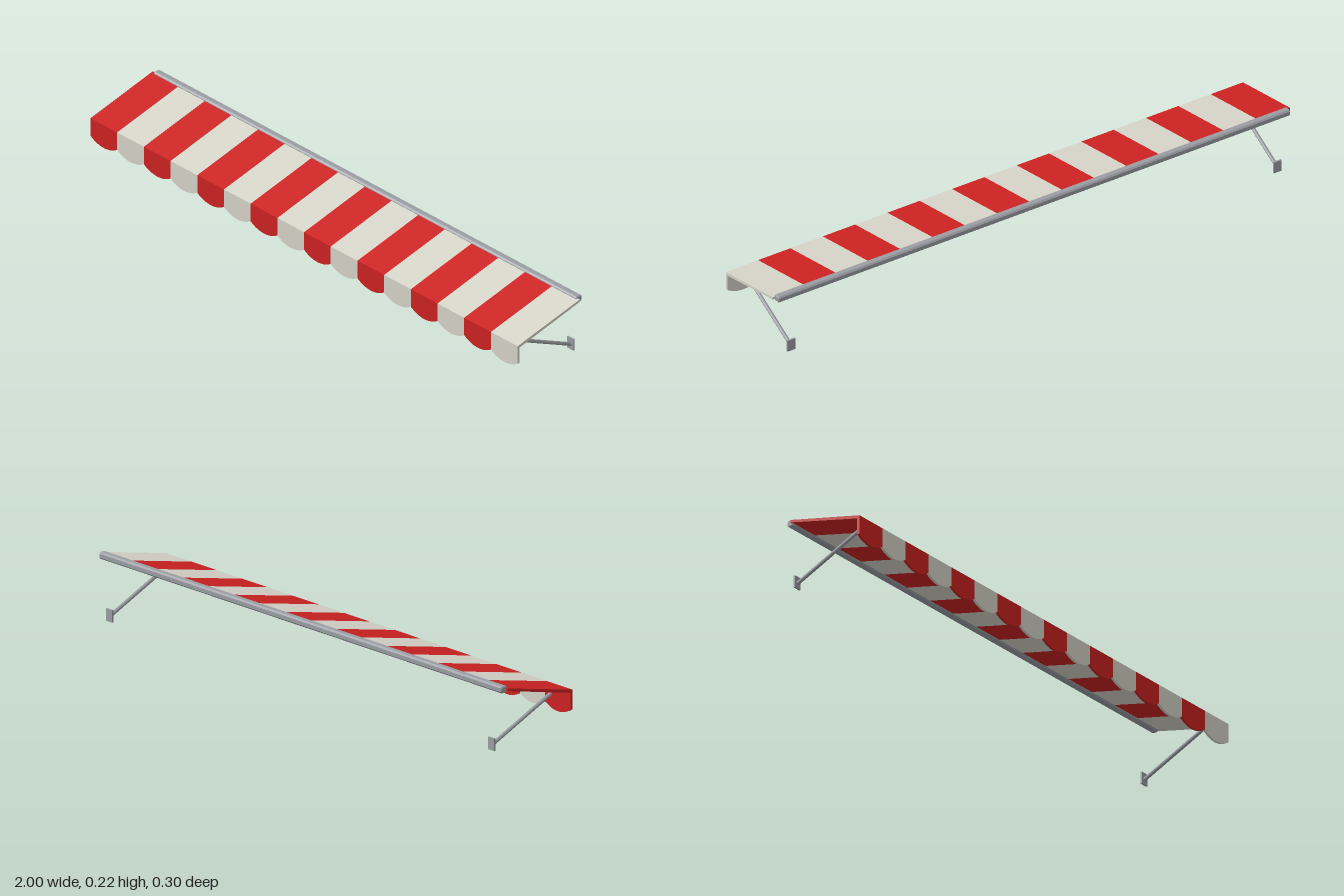
import * as THREE from 'three';

const mat = (name, color) => {
  const m = new THREE.MeshStandardMaterial({ color });
  m.name = name;
  return m;
};

// Extrudes a (z, y) outline along x, centred on x = 0
function extrudeX(points, width, bevel = 0) {
  const shape = new THREE.Shape(points.map(([z, y]) => new THREE.Vector2(z, y)));
  const depth = width - 2 * bevel;
  return new THREE.ExtrudeGeometry(shape, {
    depth, bevelEnabled: bevel > 0, bevelSize: bevel, bevelThickness: bevel,
    bevelOffset: -bevel, bevelSegments: 1,
  }).translate(0, 0, -depth / 2).rotateY(-Math.PI / 2);
}

export function createModel() {
  const group = new THREE.Group();
  const red = mat('red cloth', 0xcc2222);
  const cream = mat('cream cloth', 0xd6d4c8);
  const metal = mat('grey metal', 0x9a9da2);

  const add = (parent, name, geometry, material, x = 0, y = 0, z = 0) => {
    const mesh = new THREE.Mesh(geometry, material);
    mesh.name = name;
    mesh.position.set(x, y, z);
    parent.add(mesh);
    return mesh;
  };

  // Sloping cloth with its hanging front edge
  const count = 16, stripe = 2 / count, edgeY = 0.092;
  const front = 0.15, back = 0.141;
  const clothGeo = extrudeX([
    [front, edgeY], [front, 0.158], [-0.13, 0.219],
    [-0.13, 0.210], [back, 0.149], [back, edgeY],
  ], stripe);

  // Scallop below each stripe: a shallow arc
  const sag = 0.02, half = stripe / 2;
  const radius = (half * half + sag * sag) / (2 * sag);
  const spread = Math.asin(half / radius);
  const scallop = new THREE.Shape();
  scallop.absarc(0, radius - sag, radius, -Math.PI / 2 - spread, -Math.PI / 2 + spread, false);
  scallop.closePath();
  const scallopGeo = new THREE.ExtrudeGeometry(scallop, {
    depth: front - back, bevelEnabled: false, curveSegments: 12,
  });

  const canopy = new THREE.Group();
  canopy.name = 'canopy';
  group.add(canopy);
  for (let i = 0; i < count; i++) {
    const x = -1 + (i + 0.5) * stripe;
    const material = i % 2 ? cream : red;
    add(canopy, 'clothStripe', clothGeo, material, x);
    add(canopy, 'scallop', scallopGeo, material, x, edgeY, back);
  }

  // Chamfered wall rail along the back
  const w = 0.0135, h = 0.0115, c = 0.005;
  add(group, 'wallRail', extrudeX([
    [w, -h + c], [w, h - c], [w - c, h], [-w + c, h],
    [-w, h - c], [-w, -h + c], [-w + c, -h], [w - c, -h],
  ], 1.98, 0.003), metal, 0, 0.2135, -0.1365);

  // Support arms with wall plates
  const low = new THREE.Vector3(0, 0.018, -0.146);
  const high = new THREE.Vector3(0, 0.14, 0.108);
  const along = high.clone().sub(low);
  const armGeo = new THREE.CylinderGeometry(0.0065, 0.0065, along.length(), 8);
  const plateGeo = new THREE.BoxGeometry(0.03, 0.042, 0.006);
  for (const side of [-1, 1]) {
    const support = new THREE.Group();
    support.name = side > 0 ? 'leftSupport' : 'rightSupport';
    support.position.x = side * 0.94;
    group.add(support);
    const arm = add(support, 'arm', armGeo, metal);
    arm.position.copy(low).add(high).multiplyScalar(0.5);
    arm.quaternion.setFromUnitVectors(new THREE.Vector3(0, 1, 0), along.clone().normalize());
    add(support, 'wallPlate', plateGeo, metal, 0, 0.021, -0.147);
  }

  return group;
}
